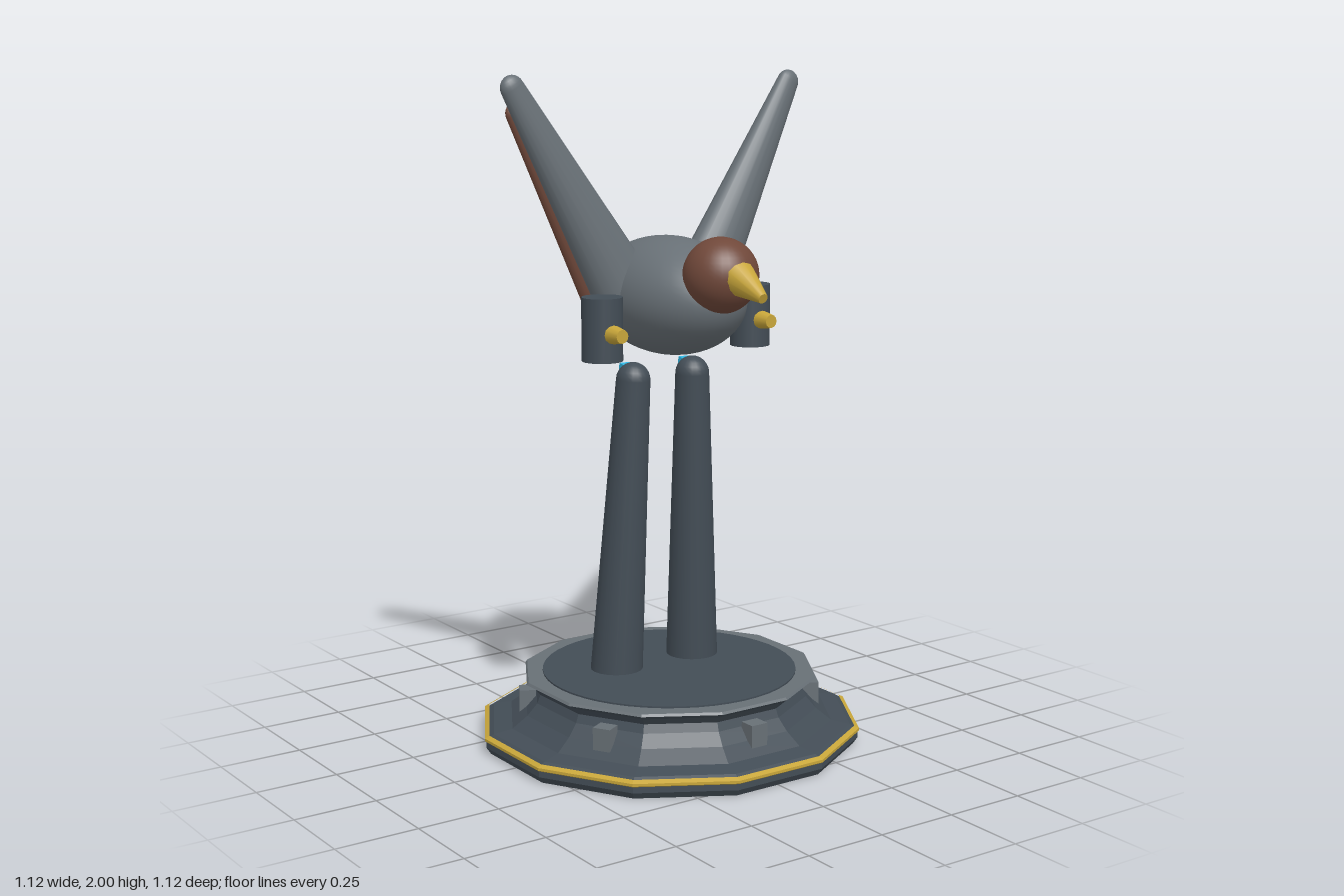
import * as THREE from 'three';

const mat = (name, color, flatShading = false) => {
  const m = new THREE.MeshStandardMaterial({ color, flatShading });
  m.name = name;
  return m;
};

export function createModel() {
  const dark = mat('dark slate', 0x434d56);
  const grey = mat('stone grey', 0x687076);
  const brown = mat('brown', 0x70483a);
  const gold = mat('gold', 0xc8a63a);
  const cyan = mat('cyan', 0x2fb4e0);
  const model = new THREE.Group();

  const add = (name, geo, material, x = 0, y = 0, z = 0) => {
    const mesh = new THREE.Mesh(geo, material);
    mesh.name = name;
    mesh.position.set(x, y, z);
    model.add(mesh);
    return mesh;
  };

  // Twelve-sided ring profile: [apothem, height] pairs, facets facing the axes
  const ring = (name, pts, material) => {
    const k = 1 / Math.cos(Math.PI / 12);
    const profile = pts.map(([r, y]) => new THREE.Vector2(r * k, y));
    const geo = new THREE.LatheGeometry(profile, 12, Math.PI / 12).toNonIndexed();
    geo.computeVertexNormals();
    return add(name, geo, material);
  };

  // Tapered limb with rounded ends running from a to b
  const limb = (name, a, b, ra, rb, flat, material) => {
    const start = new THREE.Vector3(...a), dir = new THREE.Vector3(...b).sub(start);
    const len = dir.length(), pts = [];
    for (let i = 0; i <= 6; i++) {
      const t = -Math.PI / 2 + i * Math.PI / 12;
      pts.push(new THREE.Vector2(ra * Math.cos(t), ra * Math.sin(t)));
    }
    for (let i = 0; i <= 6; i++) {
      const t = i * Math.PI / 12;
      pts.push(new THREE.Vector2(rb * Math.cos(t), len + rb * Math.sin(t)));
    }
    const mesh = add(name, new THREE.LatheGeometry(pts, 20).scale(1, 1, flat), material, ...a);
    mesh.quaternion.setFromUnitVectors(new THREE.Vector3(0, 1, 0), dir.normalize());
    return mesh;
  };

  // Pedestal
  ring('pedestal', [[0, 0], [0.545, 0], [0.558, 0.02], [0.558, 0.045], [0.535, 0.06], [0.48, 0.07],
    [0.435, 0.105], [0.405, 0.14], [0.395, 0.165], [0.41, 0.185], [0.435, 0.2]], dark);
  ring('pedestalRim', [[0.435, 0.2], [0.43, 0.207], [0.36, 0.207]], grey);
  ring('goldBand', [[0.558, 0.038], [0.562, 0.041], [0.562, 0.049], [0.548, 0.056]], gold);
  add('pedestalTop', new THREE.CylinderGeometry(0.385, 0.385, 0.02, 48), dark, 0, 0.202, 0);
  for (let i = 0; i < 6; i++) {
    const a = i * Math.PI / 3;
    const stud = add('pedestalStud', new THREE.BoxGeometry(0.055, 0.07, 0.05), grey,
      Math.sin(a) * 0.432, 0.12, Math.cos(a) * 0.432);
    stud.rotation.y = a;
  }

  // Body, head and beak
  add('body', new THREE.SphereGeometry(1, 40, 28).scale(0.192, 0.175, 0.29), grey, 0, 1.352, 0);
  add('head', new THREE.SphereGeometry(0.11, 32, 22), brown, 0, 1.435, 0.257);
  const beak = add('beak', new THREE.CylinderGeometry(0.015, 0.052, 0.12, 12), gold, 0, 1.412, 0.4);
  beak.rotation.x = Math.PI / 2 + 0.38;

  for (const s of [1, -1]) {
    // Tapered legs with a light at the back of each top
    limb('leg', [s * 0.142, 0.15, -0.081], [s * 0.107, 1.105, -0.032], 0.081, 0.051, 1, dark);
    const light = add('legLight', new THREE.BoxGeometry(0.035, 0.05, 0.03), cyan, s * 0.107, 1.122, -0.068);
    light.rotation.x = 0.15;

    // Raised wings with a brown panel behind
    limb('wing', [s * 0.14, 1.37, -0.03], [s * 0.487, 1.962, -0.067], 0.1, 0.037, 0.65, grey);
    limb('wingPanel', [s * 0.185, 1.335, -0.075], [s * 0.458, 1.89, -0.1], 0.062, 0.032, 0.5, brown);

    // Side pods with a small lamp
    add('sidePod', new THREE.CylinderGeometry(0.06, 0.06, 0.185, 24), dark, s * 0.265, 1.278, 0.045);
    const lamp = add('podLamp', new THREE.CylinderGeometry(0.02, 0.028, 0.05, 12), gold, s * 0.265, 1.268, 0.125);
    lamp.rotation.x = Math.PI / 2;
  }
  return model;
}
